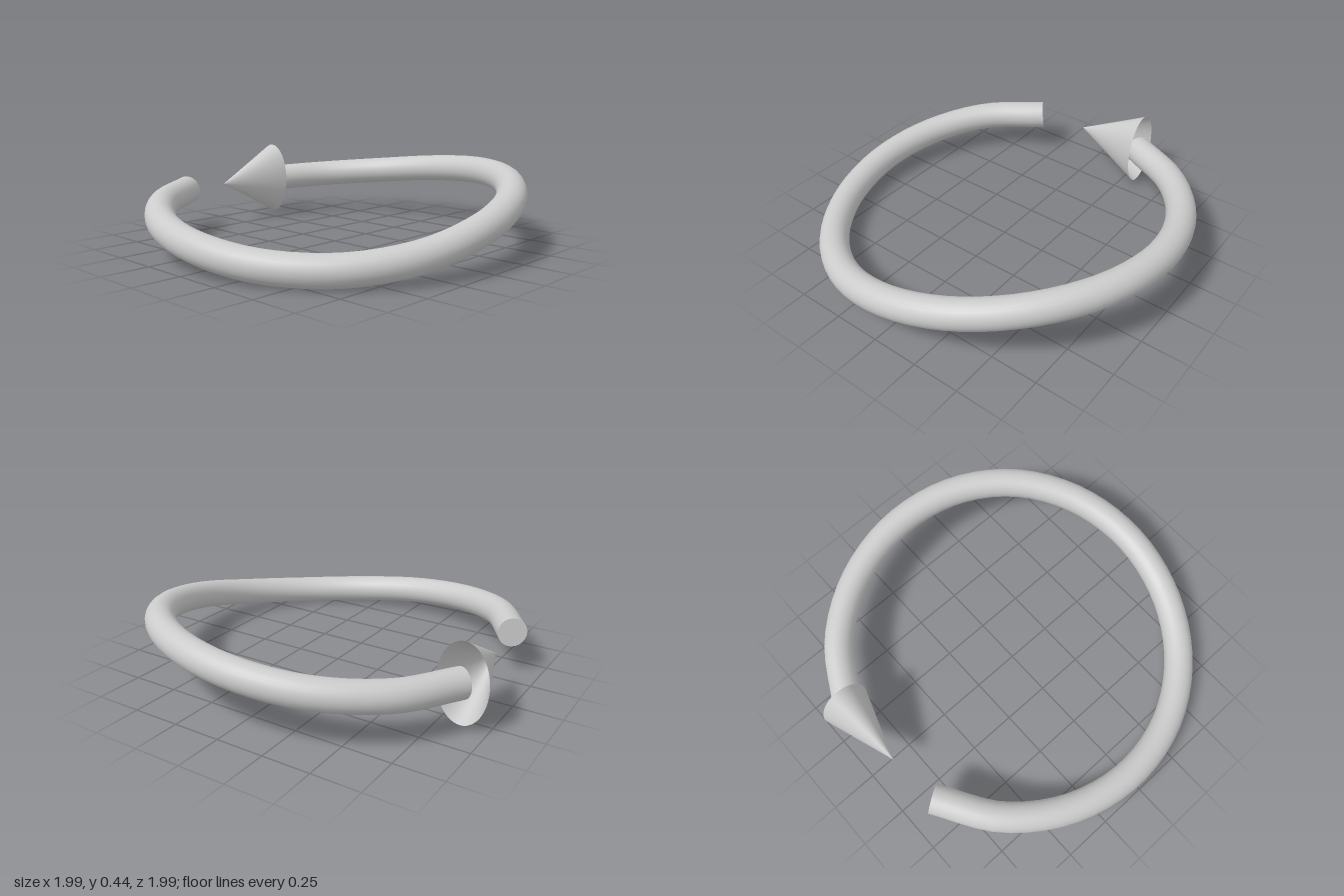
import * as THREE from 'three';

const RING = 0.918;   // radius of the bent path
const TUBE = 0.077;   // radius of the shaft

// Path height at even angular steps, from the tail round to the head
const HEIGHTS = [0.23, 0.207, 0.165, 0.122, 0.086, 0.083, 0.125, 0.203,
  0.275, 0.325, 0.335, 0.312, 0.275, 0.247, 0.23];

export function createModel() {
  const group = new THREE.Group();
  const material = new THREE.MeshStandardMaterial({ color: 0xcccccc });
  const openMaterial = new THREE.MeshStandardMaterial({ color: 0xcccccc, side: THREE.DoubleSide });

  function add(name, geometry, mat = material) {
    const mesh = new THREE.Mesh(geometry, mat);
    mesh.name = name;
    group.add(mesh);
    return mesh;
  }

  // Shaft: an open ring that dips at the front and rises at the back
  const start = THREE.MathUtils.degToRad(157.5);
  const end = THREE.MathUtils.degToRad(-160);
  const path = new THREE.CatmullRomCurve3(HEIGHTS.map((y, i) => {
    const a = THREE.MathUtils.lerp(start, end, i / (HEIGHTS.length - 1));
    return new THREE.Vector3(RING * Math.cos(a), y, RING * Math.sin(a) - 0.005);
  }));
  add('shaft', new THREE.TubeGeometry(path, 64, TUBE, 24));

  // Flat discs closing both ends of the shaft
  for (const [name, t, sign] of [['tailCap', 0, -1], ['headCap', 1, 1]]) {
    const cap = add(name, new THREE.CircleGeometry(TUBE, 24));
    cap.position.copy(path.getPointAt(t));
    cap.lookAt(cap.position.clone().addScaledVector(path.getTangentAt(t), sign));
  }

  // Arrowhead: hollow elliptical cone pointing forward
  const cone = new THREE.ConeGeometry(1, 1, 48, 1, true);
  cone.rotateX(Math.PI / 2);
  cone.scale(0.13, 0.21, 0.395);
  add('arrowhead', cone, openMaterial).position.set(-0.87, 0.23, -0.1325);

  return group;
}
